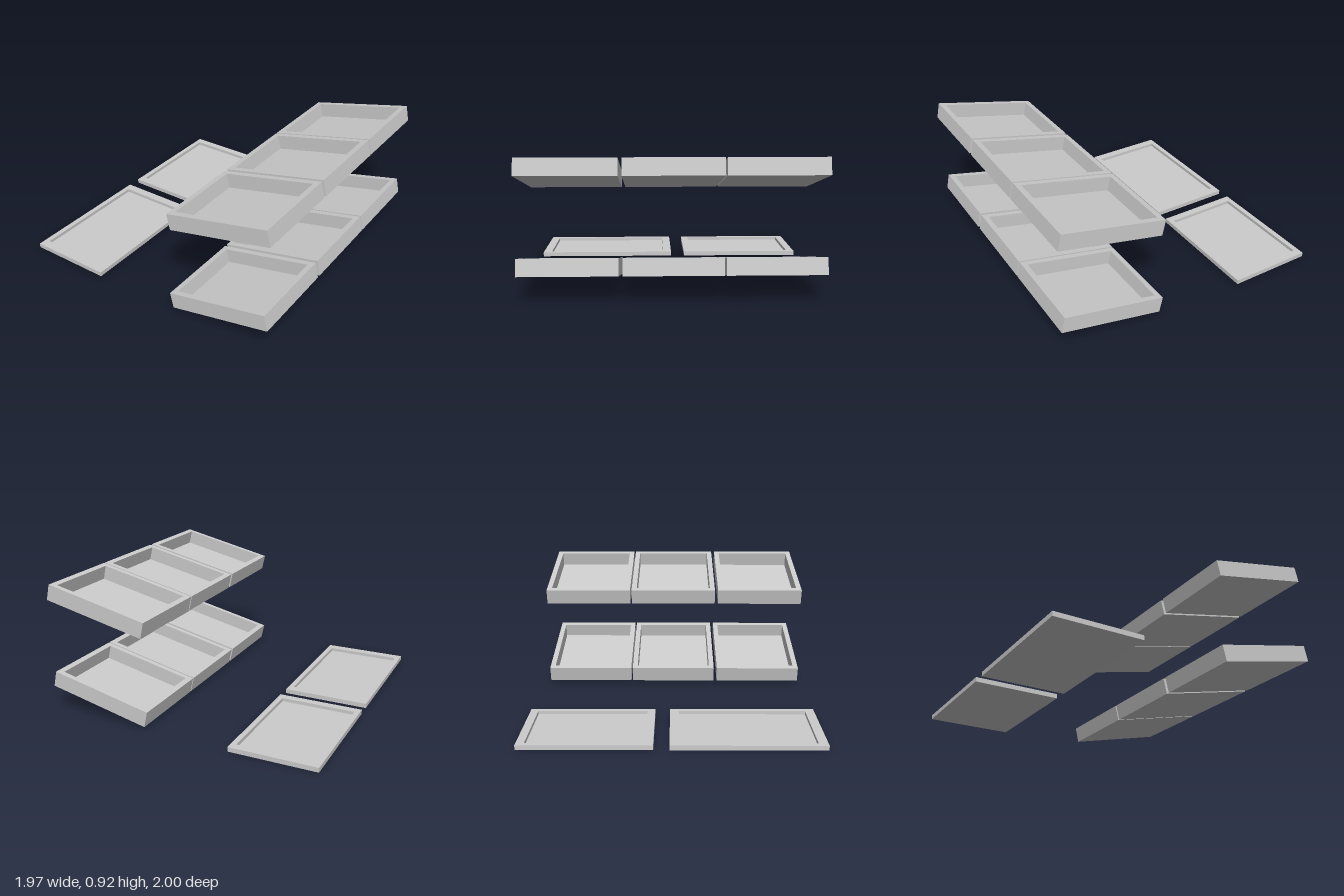
import * as THREE from 'three';

const material = new THREE.MeshStandardMaterial({ color: 0xcccccc, flatShading: true });

// Open tray, centred on its origin: rectangular rings run up the outside,
// over the rim and down to the inner floor.
function trayGeometry(length, height, width, wallX, wallZ, floor) {
  const ring = (inX, inZ, y) => {
    const x = length / 2 - inX, z = width / 2 - inZ;
    return [[x, y, z], [x, y, -z], [-x, y, -z], [-x, y, z]];
  };
  const h = height / 2;
  const rings = [ring(0, 0, -h), ring(0, 0, h), ring(wallX, wallZ, h), ring(wallX, wallZ, floor - h)];
  const points = [];
  const quad = (a, b, c, d) => points.push(...a, ...b, ...c, ...a, ...c, ...d);

  for (let r = 0; r < rings.length - 1; r++) {
    for (let i = 0; i < 4; i++) {
      const j = (i + 1) % 4;
      quad(rings[r][i], rings[r][j], rings[r + 1][j], rings[r + 1][i]);
    }
  }
  quad(...rings[3]); // inner floor
  quad(...[...rings[0]].reverse()); // underside

  const geometry = new THREE.BufferGeometry();
  geometry.setAttribute('position', new THREE.Float32BufferAttribute(points, 3));
  geometry.computeVertexNormals();
  return geometry;
}

export function createModel() {
  const model = new THREE.Group();
  const add = (parent, name, geometry, x, y, z) => {
    const mesh = new THREE.Mesh(geometry, material);
    mesh.name = name;
    mesh.position.set(x, y, z);
    parent.add(mesh);
    return mesh;
  };

  // Two tilted shelves of three deep bins each
  const bin = trayGeometry(0.744, 0.113, 0.635, 0.041, 0.038, 0.01);
  for (const [name, y] of [['lowerShelf', 0.153], ['upperShelf', 0.778]]) {
    const shelf = new THREE.Group();
    shelf.name = name;
    shelf.position.set(0.605, y, 0);
    for (const z of [0.663, 0.004, -0.643]) {
      add(shelf, 'bin', bin, 0, 0, z).rotation.z = 0.224;
    }
    model.add(shelf);
  }

  // Two shallow trays flat on the ground
  add(model, 'frontFlatTray', trayGeometry(0.608, 0.032, 1.014, 0.037, 0.063, 0.008), -0.684, 0.016, 0.49);
  add(model, 'backFlatTray', trayGeometry(0.608, 0.032, 0.88, 0.037, 0.055, 0.008), -0.684, 0.016, -0.56);

  return model;
}
